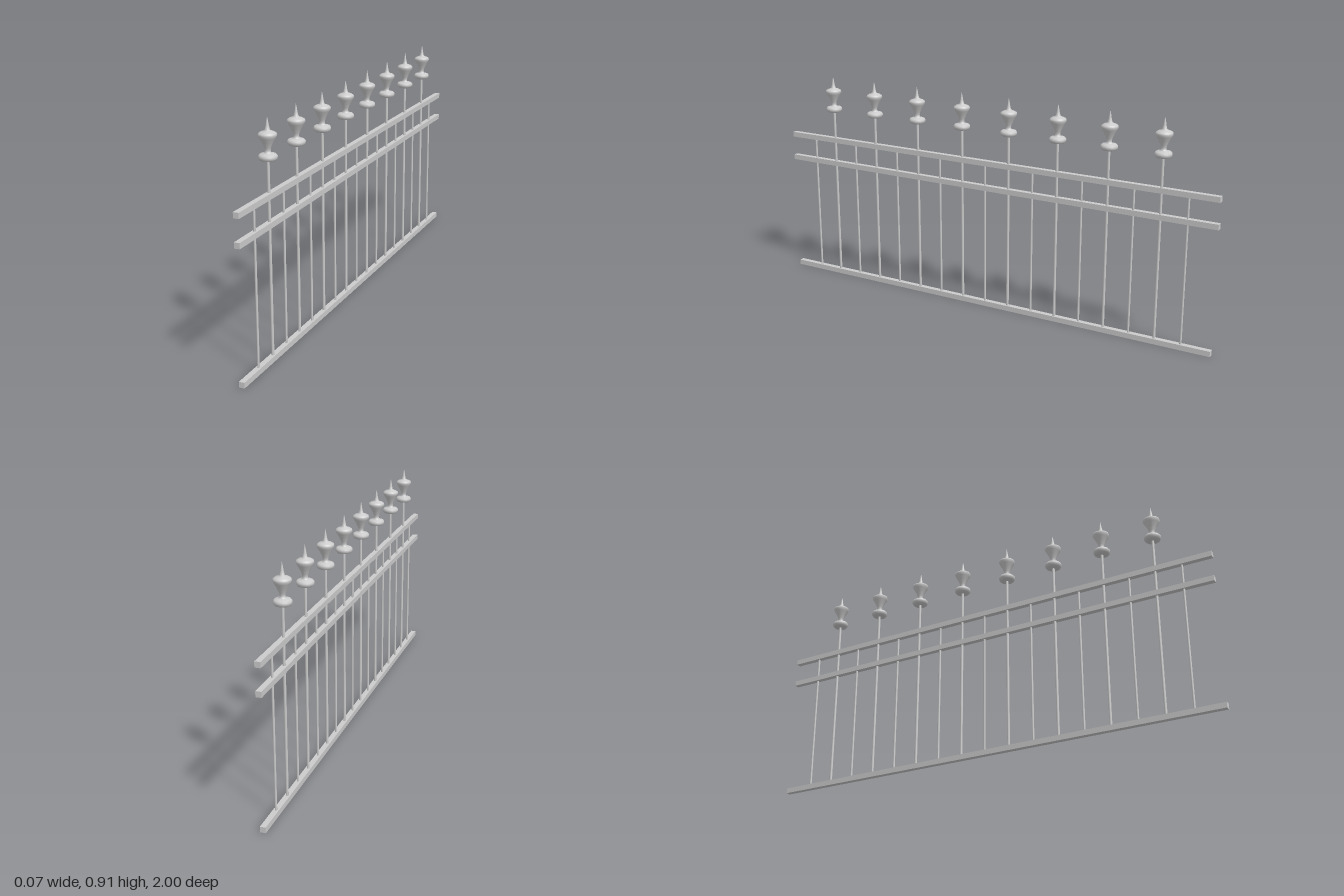
import * as THREE from 'three';

export function createModel() {
  const fence = new THREE.Group();
  fence.name = 'fence';
  const metal = new THREE.MeshStandardMaterial({ color: 0xcccccc });
  const add = (name, geometry, y, z) => {
    const mesh = new THREE.Mesh(geometry, metal);
    mesh.name = name;
    mesh.position.set(0, y, z);
    fence.add(mesh);
  };

  // Three square rails along z
  const rail = new THREE.BoxGeometry(0.022, 0.022, 2);
  add('bottomRail', rail, 0.011, 0);
  add('middleRail', rail, 0.524, 0);
  add('topRail', rail, 0.63, 0);

  // Spear finial: rounded collar, neck, flared bulb and sharp spike
  const outline = [
    [0, 0.757], [0.02, 0.757], [0.029, 0.76], [0.034, 0.767], [0.034, 0.775],
    [0.029, 0.781], [0.018, 0.784], [0.011, 0.787], [0.01, 0.795],
    [0.012, 0.804], [0.02, 0.822], [0.029, 0.838], [0.034, 0.848],
    [0.032, 0.855], [0.024, 0.86], [0.014, 0.863], [0.009, 0.868],
    [0.006, 0.882], [0.003, 0.9], [0, 0.914],
  ].map(([r, y]) => new THREE.Vector2(r, y));
  const finial = new THREE.LatheGeometry(outline, 24);

  // Tall pickets with finials, alternating with short pickets
  const spacing = 0.2193;
  const tall = new THREE.CylinderGeometry(0.0055, 0.0055, 0.75, 12);
  const short = new THREE.CylinderGeometry(0.0045, 0.0045, 0.61, 12);
  for (let i = 0; i < 8; i++) {
    const z = (i - 3.5) * spacing;
    add('tallPicket', tall, 0.386, z);
    add('finial', finial, 0, z);
  }
  for (let i = 0; i < 9; i++) add('shortPicket', short, 0.32, (i - 4) * spacing);

  return fence;
}
